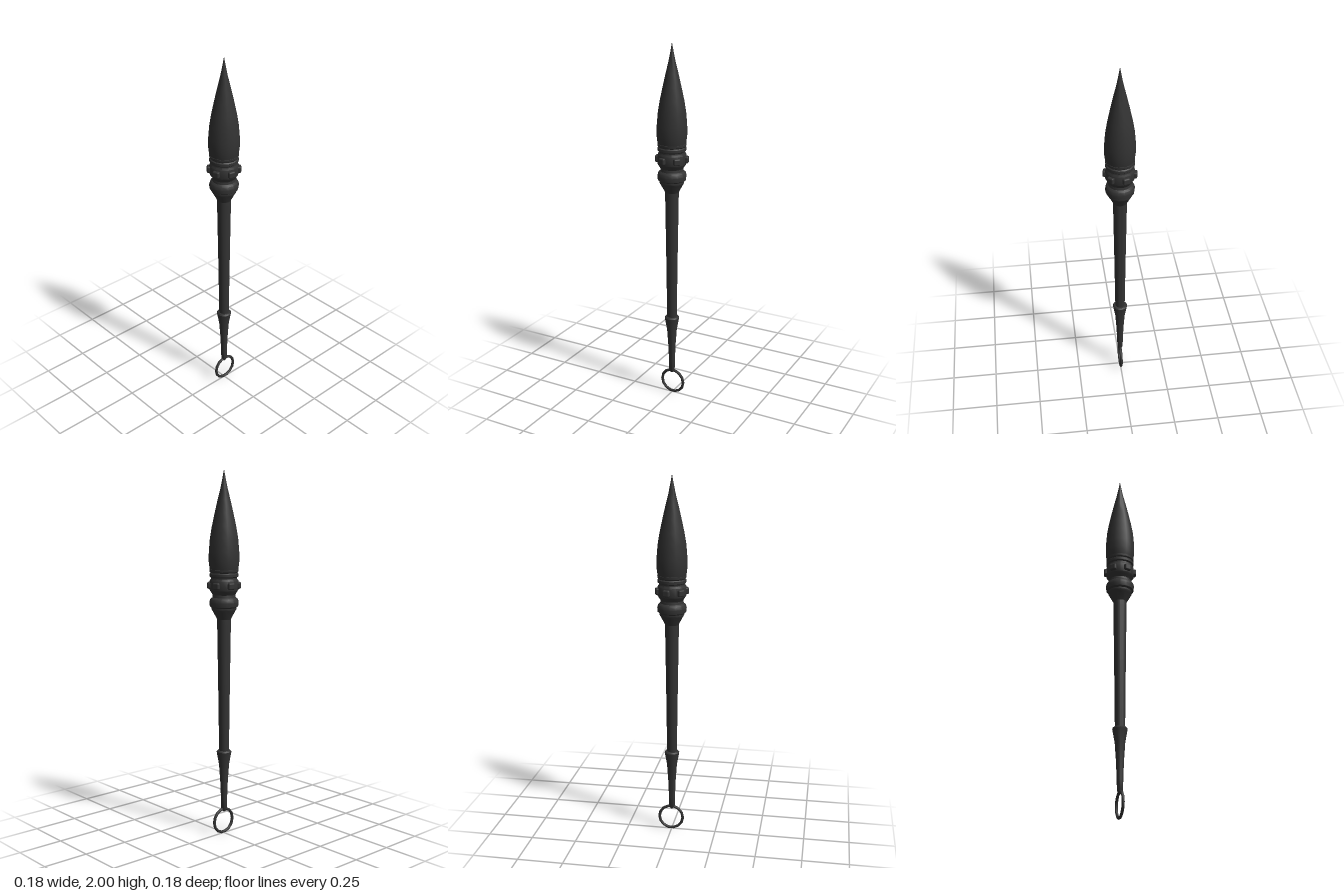
import * as THREE from 'three';
import { RoundedBoxGeometry } from 'three/addons/geometries/RoundedBoxGeometry.js';
import { toCreasedNormals } from 'three/addons/utils/BufferGeometryUtils.js';

const SIDES = 14;
const dark = new THREE.MeshStandardMaterial({ color: 0x333333 });

function addMesh(parent, name, geometry) {
  const mesh = new THREE.Mesh(geometry, dark);
  mesh.name = name;
  parent.add(mesh);
  return mesh;
}

// Turned part from [radius, height] pairs, bottom to top
function turned(parent, name, profile) {
  const points = profile.map(([r, y]) => new THREE.Vector2(r, y));
  return addMesh(parent, name, toCreasedNormals(new THREE.LatheGeometry(points, SIDES), 0.6));
}

export function createModel() {
  const group = new THREE.Group();
  group.name = 'brush';

  // Bristles swelling from the collar and drawn out to a point
  turned(group, 'bristles', [
    [0.07, 1.45], [0.077, 1.48], [0.082, 1.52], [0.081, 1.57], [0.075, 1.64],
    [0.065, 1.7], [0.05, 1.77], [0.034, 1.84], [0.019, 1.9], [0.009, 1.95], [0, 2],
  ]);

  // Ferrule: flared cup, bulging lip, waist and studded band
  turned(group, 'ferrule', [
    [0.034, 1.2], [0.041, 1.215], [0.06, 1.25], [0.066, 1.26], [0.066, 1.27],
    [0.076, 1.277], [0.079, 1.3], [0.074, 1.317], [0.063, 1.326], [0.061, 1.34],
    [0.07, 1.355], [0.077, 1.365], [0.077, 1.415], [0.07, 1.425], [0.07, 1.432],
    [0.077, 1.438], [0.077, 1.452], [0.072, 1.457], [0.077, 1.463], [0.078, 1.475], [0.06, 1.482],
  ]);

  // Six studs round the band
  const studs = new THREE.Group();
  studs.name = 'studs';
  for (let i = 0; i < 6; i++) {
    const angle = THREE.MathUtils.degToRad(-13 + i * 60);
    const stud = addMesh(studs, 'stud', new RoundedBoxGeometry(0.038, 0.036, 0.026, 2, 0.008));
    stud.position.set(0.077 * Math.sin(angle), 1.39, 0.077 * Math.cos(angle));
    stud.rotation.y = angle;
  }
  group.add(studs);

  // Slender shaft, slightly thicker toward the head
  turned(group, 'shaft', [[0.027, 0.46], [0.032, 0.85], [0.037, 1.18], [0.037, 1.23]]);

  // Tapered tail piece with a flared rim
  turned(group, 'tail', [
    [0, 0.125], [0.009, 0.13], [0.016, 0.145], [0.017, 0.2], [0.021, 0.3],
    [0.028, 0.4], [0.039, 0.46], [0.041, 0.472], [0.035, 0.479], [0.026, 0.48],
  ]);

  // Hanging ring
  const ring = addMesh(group, 'ring', new THREE.TorusGeometry(0.067, 0.008, 8, 14));
  ring.position.set(0.005, 0.075, 0);

  // Head and shaft sit a hair off the ring's centre line
  group.children.forEach((part) => { part.position.x -= 0.002; });
  return group;
}
